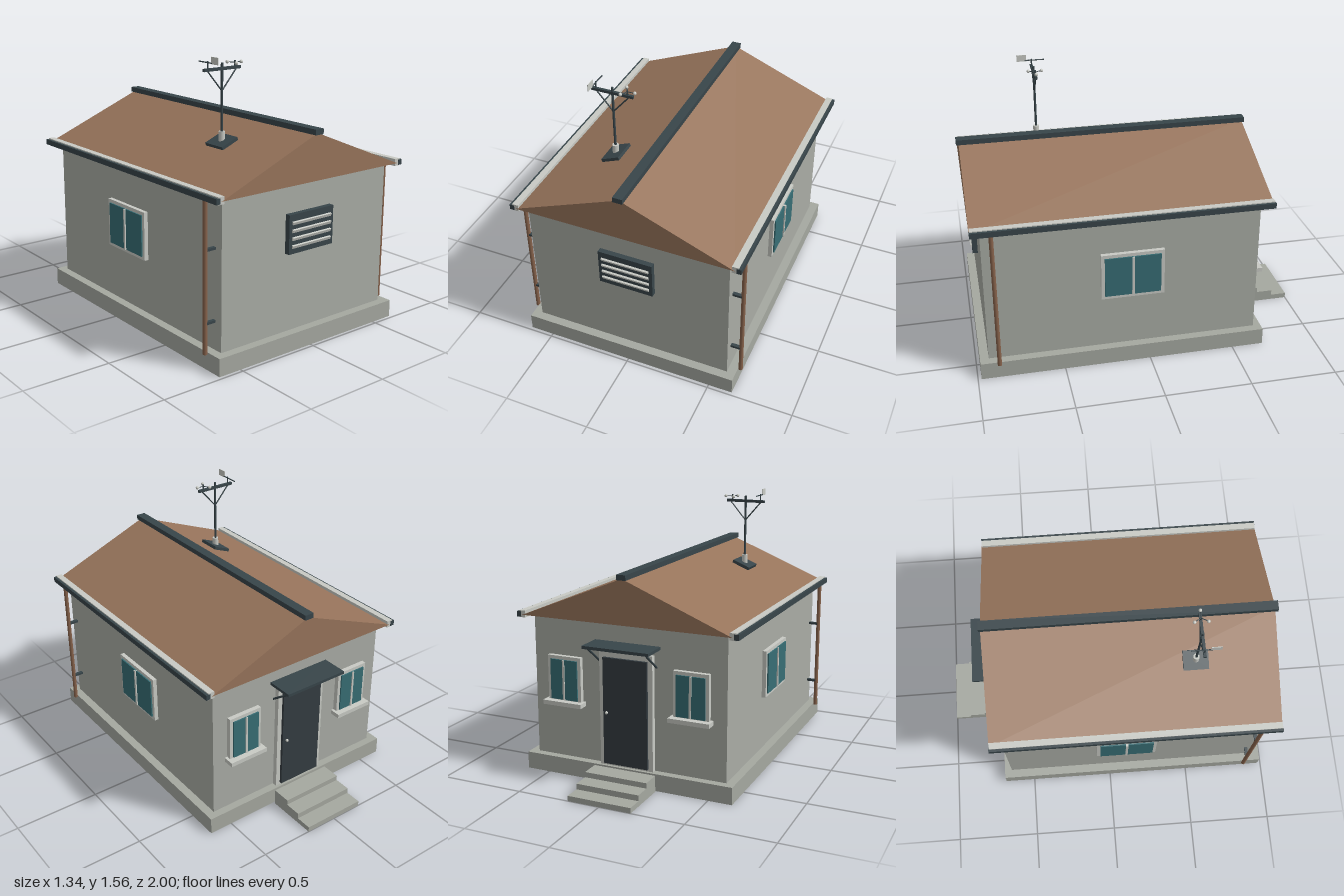
import * as THREE from 'three';

const mat = (name, color) => {
  const m = new THREE.MeshStandardMaterial({ color });
  m.name = name;
  return m;
};

export function createModel() {
  const M = {
    wall: mat('wall render', 0xa9aca5),
    concrete: mat('concrete', 0xa5a8a0),
    roof: mat('roof brown', 0x97745b),
    pipe: mat('pipe brown', 0x86624b),
    dark: mat('dark metal', 0x38454a),
    door: mat('door grey', 0x343c41),
    trim: mat('pale trim', 0xc8cac4),
    glass: mat('teal glass', 0x376d74),
  };
  const root = new THREE.Group();
  root.name = 'stationHut';

  const group = (name, parent = root) => {
    const g = new THREE.Group();
    g.name = name;
    parent.add(g);
    return g;
  };
  const add = (name, geo, material, parent = root) => {
    const m = new THREE.Mesh(geo, material);
    m.name = name;
    parent.add(m);
    return m;
  };
  // Box given by its extents on each axis
  const box = (name, [x0, x1], [y0, y1], [z0, z1], material, parent) => {
    const m = add(name, new THREE.BoxGeometry(x1 - x0, y1 - y0, z1 - z0), material, parent);
    m.position.set((x0 + x1) / 2, (y0 + y1) / 2, (z0 + z1) / 2);
    return m;
  };
  // Round rod between two points
  const rod = (name, a, b, r, material, parent, sides = 12) => {
    const p = new THREE.Vector3(...a), q = new THREE.Vector3(...b);
    const d = q.clone().sub(p);
    const m = add(name, new THREE.CylinderGeometry(r, r, d.length(), sides), material, parent);
    m.position.copy(p).add(q).multiplyScalar(0.5);
    m.quaternion.setFromUnitVectors(new THREE.Vector3(0, 1, 0), d.normalize());
    return m;
  };

  // Foundation and walls
  box('foundation', [-0.64, 0.64], [0, 0.1], [-0.685, 0.98], M.concrete);
  box('walls', [-0.59, 0.59], [0.1, 0.93], [-0.64, 0.93], M.wall);

  // Gabled roof and ridge cap
  const gable = new THREE.Shape([[-0.635, 0.93], [0.635, 0.93], [0, 1.187]].map(p => new THREE.Vector2(...p)));
  const roofGeo = new THREE.ExtrudeGeometry(gable, { depth: 1.685, bevelEnabled: false });
  add('roof', roofGeo, M.roof).position.z = -0.7;
  box('ridgeCap', [-0.028, 0.028], [1.18, 1.21], [-0.71, 1], M.dark);

  // Gutters, downpipes and side windows
  for (const s of [1, -1]) {
    const side = s > 0 ? 'left' : 'right';
    const span = (a, b) => (s > 0 ? [a, b] : [-b, -a]);
    const drain = group(side + 'Drainage');
    box('gutter', span(0.618, 0.655), [0.915, 0.955], [-0.698, 0.983], M.trim, drain);
    box('gutterFascia', span(0.643, 0.67), [0.918, 0.949], [-0.7, 0.985], M.dark, drain);
    rod('downpipe', [s * 0.651, 0.09, 0.873], [s * 0.651, 0.92, 0.873], 0.012, M.pipe, drain, 16);
    for (const y of [0.26, 0.655])
      box('pipeBracket', span(0.585, 0.645), [y - 0.007, y + 0.007], [0.863, 0.883], M.dark, drain);

    const win = group(side + 'Window');
    box('windowFrame', span(0.585, 0.614), [0.42, 0.7], [-0.083, 0.28], M.trim, win);
    box('windowPane', span(0.613, 0.622), [0.44, 0.68], [-0.062, 0.26], M.glass, win);
    box('mullion', span(0.614, 0.629), [0.44, 0.68], [0.092, 0.106], M.trim, win);

    // Rear window beside the door
    const rear = group(side + 'RearWindow');
    const c = s * 0.39;
    box('windowFrame', [c - 0.105, c + 0.105], [0.425, 0.705], [-0.667, -0.635], M.trim, rear);
    box('windowPane', [c - 0.085, c + 0.085], [0.45, 0.685], [-0.675, -0.666], M.glass, rear);
    box('mullion', [c - 0.006, c + 0.006], [0.45, 0.685], [-0.681, -0.667], M.trim, rear);
    box('windowSill', [c - 0.122, c + 0.122], [0.42, 0.445], [-0.705, -0.635], M.trim, rear);
  }

  // Louvred vent on the front wall
  const vent = group('vent');
  box('ventPanel', [-0.16, 0.16], [0.547, 0.765], [0.925, 0.96], M.dark, vent);
  for (let i = 0; i < 4; i++) {
    const slat = box('ventSlat', [-0.14, 0.14], [-0.008, 0.008], [0.953, 0.968], M.trim, vent);
    slat.position.y = 0.588 + i * 0.0435;
    slat.rotation.x = 0.35;
  }

  // Rear door with its canopy
  const door = group('doorway');
  box('doorFrame', [-0.163, 0.163], [0.1, 0.768], [-0.668, -0.635], M.trim, door);
  box('doorLeaf', [-0.135, 0.135], [0.113, 0.735], [-0.683, -0.66], M.door, door);
  const knob = add('doorKnob', new THREE.SphereGeometry(0.009, 12, 8), M.trim, door);
  knob.position.set(0.11, 0.418, -0.692);
  box('canopy', [-0.2, 0.2], [0.803, 0.82], [-0.795, -0.635], M.dark, door);
  for (const x of [-0.175, 0.175])
    rod('canopyStrut', [x, 0.7, -0.638], [x, 0.808, -0.782], 0.006, M.dark, door);

  // Entrance steps
  const steps = group('steps');
  [[0.095, -0.807, -0.695], [0.064, -0.905, -0.807], [0.031, -1, -0.905]].forEach(([h, z0, z1]) =>
    box('step', [-0.19, 0.19], [0, h], [z0, z1], M.concrete, steps));

  // Weather mast on the roof
  const mast = group('weatherMast');
  mast.position.set(-0.255, 0, 0.51);
  const plate = box('mastPlate', [-0.057, 0.057], [-0.009, 0.009], [-0.073, 0.073], M.dark, mast);
  plate.position.y = 1.094;
  plate.rotation.z = Math.atan2(0.257, 0.635);
  rod('mastSocket', [0, 1.09, 0], [0, 1.15, 0], 0.018, M.trim, mast, 20);
  rod('mastPole', [0, 1.14, 0], [0, 1.522, 0], 0.007, M.dark, mast);
  box('crossArm', [-0.124, 0.124], [1.482, 1.498], [-0.008, 0.008], M.dark, mast);
  for (const s of [-1, 1])
    rod('armBrace', [0, 1.37, 0], [s * 0.1, 1.486, 0], 0.004, M.dark, mast, 8);

  // Wind vane
  const vane = group('windVane', mast);
  vane.position.x = -0.097;
  rod('vanePost', [0, 1.49, 0], [0, 1.537, 0], 0.004, M.dark, vane, 8);
  rod('vaneRod', [0, 1.53, -0.075], [0, 1.53, 0.04], 0.0035, M.dark, vane, 8);
  box('vaneFin', [-0.002, 0.002], [1.525, 1.564], [0.03, 0.088], M.trim, vane);

  // Cup anemometer
  const cups = group('anemometer', mast);
  cups.position.x = 0.089;
  rod('anemometerPost', [0, 1.49, 0], [0, 1.528, 0], 0.005, M.dark, cups, 8);
  for (let i = 0; i < 3; i++) {
    const a = (i * Math.PI * 2) / 3, x = Math.cos(a) * 0.044, z = Math.sin(a) * 0.044;
    rod('cupArm', [0, 1.517, 0], [x, 1.517, z], 0.0025, M.dark, cups, 8);
    add('cup', new THREE.SphereGeometry(0.01, 12, 8), M.trim, cups).position.set(x, 1.517, z);
  }

  return root;
}
